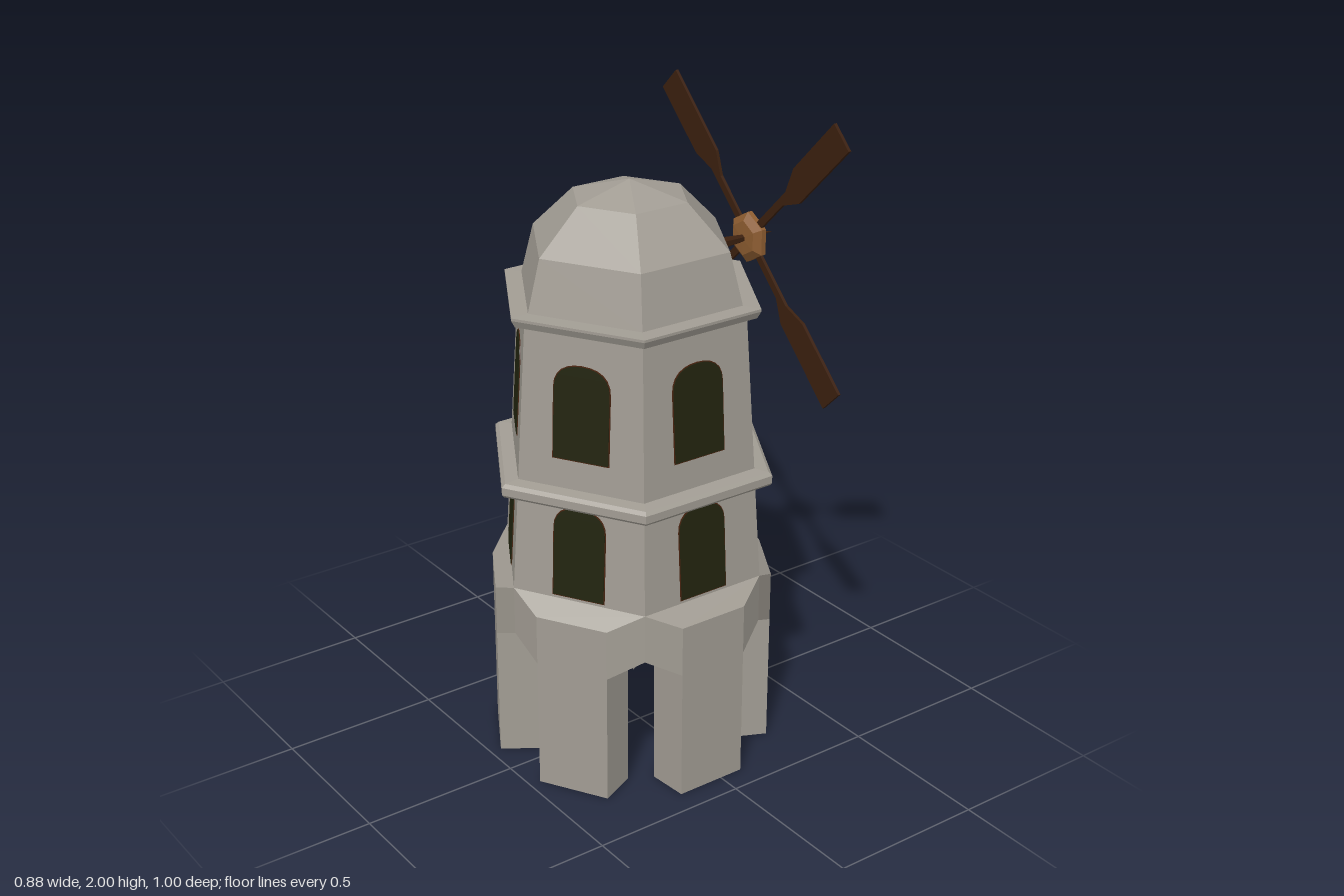
import * as THREE from 'three';

const mat = (name, color) => new THREE.MeshStandardMaterial({ name, color, flatShading: true, side: THREE.DoubleSide });
const stone = mat('stone', 0xa29d94);
const darkWood = mat('darkWood', 0x3b200f);
const hubWood = mat('hubWood', 0x8c5c30);
const windowDark = mat('windowDark', 0x22240f);
const frameBrown = mat('frameBrown', 0x4a2410);

const CENTER_Z = 0.038;
const WALL = { y0: 0.63, r0: 0.43, y1: 1.47, r1: 0.37 };
const COS30 = Math.cos(Math.PI / 6);

function mesh(name, geometry, material) {
  const m = new THREE.Mesh(geometry, material);
  m.name = name;
  return m;
}

// Six-sided turned shape with a corner facing the front
function hexLathe(name, profile) {
  return mesh(name, new THREE.LatheGeometry(profile.map(([r, y]) => new THREE.Vector2(r, y)), 6), stone);
}

// Six channel-shaped legs joined by pointed arches under a sloped shoulder
function legBase() {
  const pos = [];
  const quad = (a, b, c, d) => pos.push(...a, ...b, ...c, ...a, ...c, ...d);
  for (let k = 0; k < 6; k++) {
    const ang = Math.PI / 6 + k * Math.PI / 3;
    const p = (r, s, y) => [
      r * Math.sin(ang) + s * Math.cos(ang), y,
      r * Math.cos(ang) - s * Math.sin(ang)];
    const e = 0.115, c = WALL.r0 / 2, ca = WALL.r0 * COS30, ea = 0.425;
    quad(p(ea, -e, 0), p(ea, e, 0), p(ea, e, 0.58), p(ea, -e, 0.58));
    quad(p(ea, -e, 0.58), p(ea, e, 0.58), p(ca, c, WALL.y0), p(ca, -c, WALL.y0));
    for (const s of [1, -1]) {
      const arch = [p(ea, s * e, 0.42), p(ca, s * c, 0.475), p(ca, s * c, WALL.y0), p(ea, s * e, 0.58)];
      const side = [p(ea, s * e, 0), p(0.298, s * 0.126, 0), p(0.298, s * 0.126, 0.43), p(ea, s * e, 0.43)];
      for (const f of [arch, side]) quad(...(s > 0 ? f : f.reverse()));
    }
  }
  const g = new THREE.BufferGeometry();
  g.setAttribute('position', new THREE.Float32BufferAttribute(pos, 3));
  g.computeVertexNormals();
  return mesh('legBase', g, stone);
}

// Thin round-headed plate, centred on its own plane
function archPlate(name, w, h, depth, material) {
  const s = new THREE.Shape(), rise = w * 0.42;
  s.moveTo(-w / 2, 0);
  s.lineTo(w / 2, 0);
  s.lineTo(w / 2, h - rise);
  s.bezierCurveTo(w / 2, h - rise * 0.3, w * 0.3, h, 0, h);
  s.bezierCurveTo(-w * 0.3, h, -w / 2, h - rise * 0.3, -w / 2, h - rise);
  const g = new THREE.ExtrudeGeometry(s, { depth, bevelEnabled: false, curveSegments: 6 });
  g.translate(0, 0, -depth / 2);
  return mesh(name, g, material);
}

function windowRow(name, y, w, h) {
  const row = new THREE.Group();
  row.name = name;
  const slope = (WALL.r0 - WALL.r1) * COS30 / (WALL.y1 - WALL.y0);
  for (let k = 0; k < 6; k++) {
    const turn = new THREE.Group();
    turn.name = 'window';
    turn.rotation.y = Math.PI / 6 + k * Math.PI / 3;
    const tilt = new THREE.Group();
    tilt.position.set(0, y, WALL.r0 * COS30 - slope * (y - WALL.y0));
    tilt.rotation.x = -Math.atan(slope);
    const frame = archPlate('windowFrame', w + 0.006, h + 0.006, 0.004, frameBrown);
    frame.position.y = -0.003;
    tilt.add(frame, archPlate('windowPane', w, h, 0.008, windowDark));
    turn.add(tilt);
    row.add(turn);
  }
  return row;
}

// Four paddles on slim spars, with a faceted hub and tapered shaft
function sails() {
  const g = new THREE.Group();
  g.name = 'sails';
  g.position.set(0, 1.563, -0.41);
  const s = new THREE.Shape([
    [0, -0.012], [0.21, -0.012], [0.28, -0.047], [0.573, -0.047],
    [0.573, 0.047], [0.33, 0.045], [0.25, 0.012], [0, 0.012],
  ].map(([x, y]) => new THREE.Vector2(x, y)));
  const blade = new THREE.ExtrudeGeometry(s, { depth: 0.01, bevelEnabled: false });
  blade.translate(0, 0, -0.005);
  for (let k = 0; k < 4; k++) {
    const b = mesh('sailBlade', blade, darkWood);
    b.rotation.z = Math.PI / 4 + k * Math.PI / 2;
    g.add(b);
  }
  const hub = mesh('hub', new THREE.LatheGeometry(
    [[0, -0.028], [0.055, -0.025], [0.08, -0.008], [0.08, 0.008], [0.055, 0.025], [0, 0.028]]
      .map(([r, y]) => new THREE.Vector2(r, y)), 6), hubWood);
  hub.rotation.x = -Math.PI / 2;
  const tip = mesh('hubSpike', new THREE.ConeGeometry(0.012, 0.066, 6), darkWood);
  tip.rotation.x = -Math.PI / 2;
  tip.position.z = -0.057;
  const shaft = mesh('shaft', new THREE.CylinderGeometry(0.01, 0.021, 0.13, 6), darkWood);
  shaft.rotation.x = -Math.PI / 2;
  shaft.position.z = 0.07;
  g.add(hub, tip, shaft);
  return g;
}

export function createModel() {
  const model = new THREE.Group();
  model.name = 'windmillTower';
  const tower = new THREE.Group();
  tower.name = 'tower';
  tower.position.z = CENTER_Z;
  tower.add(
    legBase(),
    hexLathe('walls', [[WALL.r0, WALL.y0], [WALL.r1, WALL.y1]]),
    hexLathe('lowerLedge', [[0.4, 0.935], [0.455, 0.94], [0.462, 0.948], [0.462, 0.972], [0.45, 0.982], [0.4, 0.986]]),
    hexLathe('upperLedge', [[0.36, 1.462], [0.402, 1.462], [0.414, 1.484], [0.414, 1.492], [0.35, 1.494]]),
    hexLathe('dome', [[0.358, 1.49], [0.315, 1.65], [0.182, 1.78], [0, 1.828]]),
    windowRow('lowerWindows', 0.642, 0.164, 0.285),
    windowRow('upperWindows', 1.078, 0.176, 0.288),
  );
  model.add(tower, sails());
  return model;
}
